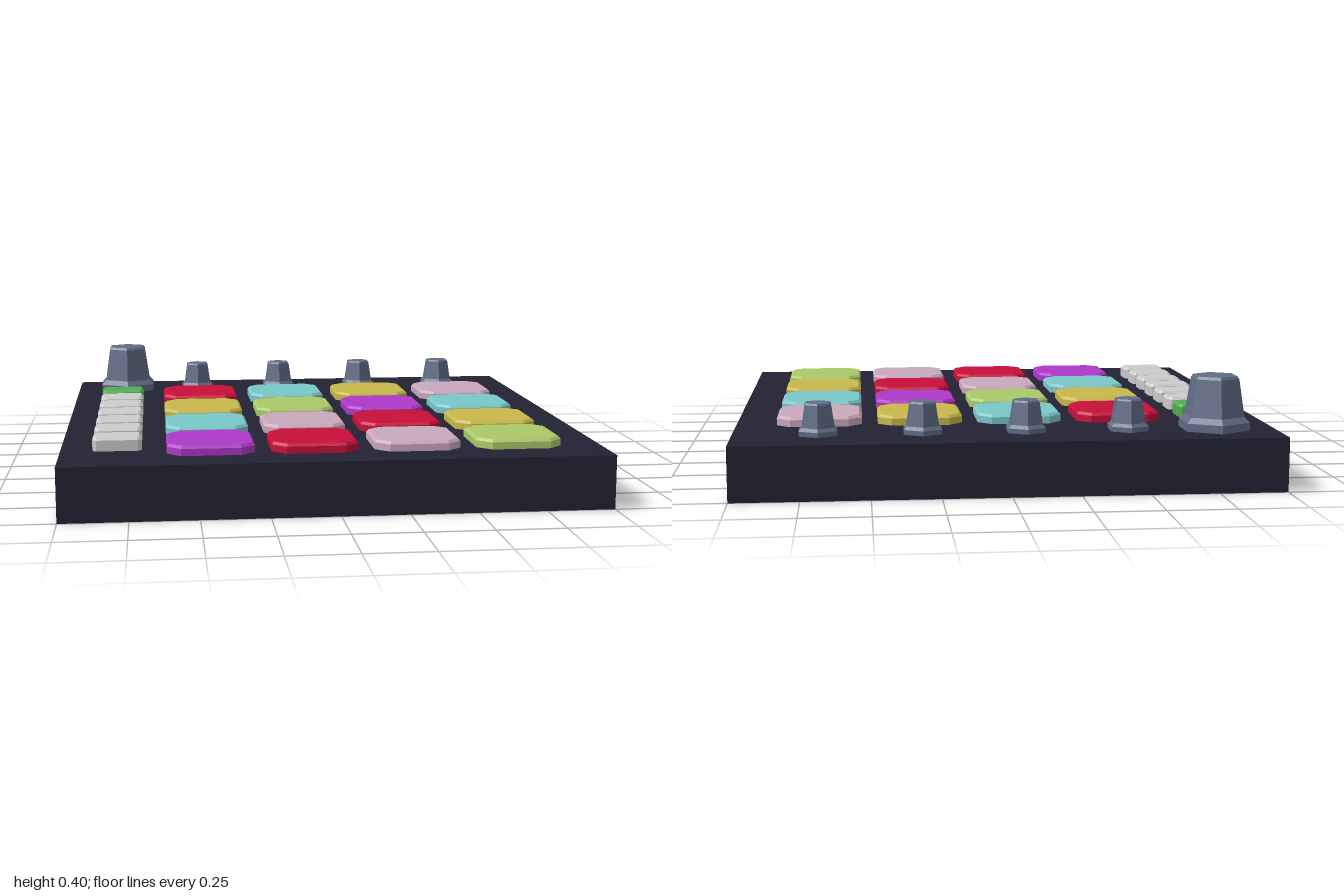
import * as THREE from 'three';

const material = (name, color) => {
  const m = new THREE.MeshStandardMaterial({ color });
  m.name = name;
  return m;
};

// Chamfered rectangular cap whose lower bevel is sunk, so y = 0 is its widest level
function capGeometry(w, d, h, corner, bevel) {
  const x = w / 2 - bevel, y = d / 2 - bevel, c = corner;
  const outline = [
    [x - c, -y], [x, -y + c], [x, y - c], [x - c, y],
    [-x + c, y], [-x, y - c], [-x, -y + c], [-x + c, -y],
  ].map(([a, b]) => new THREE.Vector2(a, b));
  const g = new THREE.ExtrudeGeometry(new THREE.Shape(outline), {
    depth: h - bevel, bevelEnabled: true, bevelSegments: 1, bevelSize: bevel, bevelThickness: bevel,
  });
  return g.rotateX(-Math.PI / 2);
}

// Six-sided knob with a flange, tapered grip and bevelled top
function knobGeometry() {
  const profile = [
    [0, 0], [0.136, 0], [0.136, 0.03], [0.115, 0.05], [0.092, 0.19], [0.084, 0.2], [0, 0.2],
  ].map(([r, y]) => new THREE.Vector2(r, y));
  const g = new THREE.LatheGeometry(profile, 6).toNonIndexed();
  g.computeVertexNormals();
  return g;
}

export function createModel() {
  const group = new THREE.Group();
  const top = 0.2;
  const casing = material('dark casing', 0x222234);
  const slate = material('slate knob', 0x606c86);
  const white = material('white button', 0xcccccc);
  const green = material('green button', 0x4fae4f);
  const pads = {
    R: material('red pad', 0xc80f3a),
    C: material('cyan pad', 0x7ac7c9),
    Y: material('yellow pad', 0xc7b84b),
    P: material('pink pad', 0xc9a8bd),
    L: material('lime pad', 0xabc96a),
    M: material('purple pad', 0xae38c9),
  };

  const add = (name, geometry, mat, x, y, z, scale = 1) => {
    const mesh = new THREE.Mesh(geometry, mat);
    mesh.name = name;
    mesh.position.set(x, y, z);
    mesh.scale.setScalar(scale);
    group.add(mesh);
  };

  add('casing', new THREE.BoxGeometry(2, 0.2, 2), casing, 0, 0.1, 0);

  // Four by four grid of pads, back row first
  const padGeometry = capGeometry(0.32, 0.32, 0.036, 0.045, 0.01);
  const columns = [-0.453, -0.072, 0.308, 0.688];
  ['RCYP', 'YLMC', 'CPRY', 'MRPL'].forEach((row, r) => {
    [...row].forEach((key, c) => add('pad', padGeometry, pads[key], columns[c], top, columns[r]));
  });

  // Column of small buttons, the rearmost one green
  const buttonGeometry = capGeometry(0.18, 0.122, 0.05, 0.008, 0.01);
  for (let i = 0; i < 7; i++) {
    add('button', buttonGeometry, i ? white : green, -0.793, top, -0.456 + i * 0.1875);
  }

  // One large knob and a small knob behind each pad column
  const knob = knobGeometry();
  add('largeKnob', knob, slate, -0.777, top, -0.777);
  columns.forEach((x) => add('smallKnob', knob, slate, x, top, -0.777, 0.59));

  return group;
}
